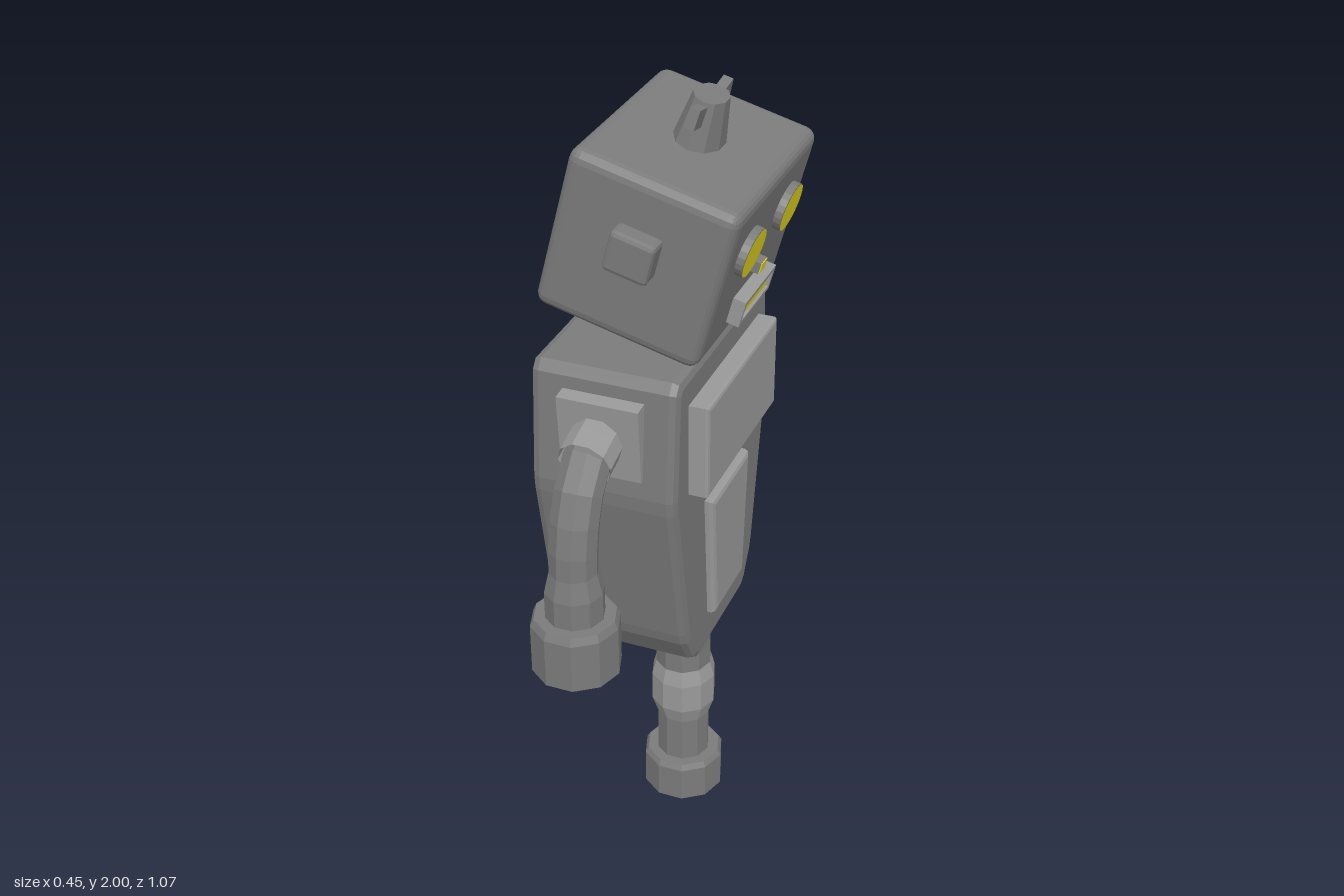
import * as THREE from 'three';
import { RoundedBoxGeometry } from 'three/addons/geometries/RoundedBoxGeometry.js';

const dark = new THREE.MeshStandardMaterial({ color: 0x7b7b7b, flatShading: true });
const darkOpen = new THREE.MeshStandardMaterial({ color: 0x7b7b7b, flatShading: true, side: THREE.DoubleSide });
const light = new THREE.MeshStandardMaterial({ color: 0x999999, flatShading: true });
const lightOpen = new THREE.MeshStandardMaterial({ color: 0x999999, flatShading: true, side: THREE.DoubleSide });
const yellow = new THREE.MeshStandardMaterial({ color: 0xe8dc20 });

const MID = -0.005; // mid plane of head and body

function add(parent, name, geometry, material = dark, x = 0, y = 0, z = 0) {
  const mesh = new THREE.Mesh(geometry, material);
  mesh.name = name;
  mesh.position.set(x, y, z);
  parent.add(mesh);
  return mesh;
}

// Symmetric outline of [half width, y] points, extruded along x from x0 to x1 with a bevel
function slab(half, x0, x1, bevel) {
  const right = half.map(([w, y]) => new THREE.Vector2(w, y));
  const left = half.map(([w, y]) => new THREE.Vector2(-w, y)).reverse();
  const g = new THREE.ExtrudeGeometry(new THREE.Shape([...right, ...left]), {
    depth: x1 - x0 - 2 * bevel, bevelEnabled: true, bevelThickness: bevel,
    bevelSize: bevel, bevelOffset: -bevel, bevelSegments: 2,
  });
  return g.translate(0, 0, bevel).rotateY(Math.PI / 2).translate(x0, 0, 0);
}

function tube(points, radius, segments) {
  const curve = new THREE.CatmullRomCurve3(points.map((p) => new THREE.Vector3(...p)));
  return new THREE.TubeGeometry(curve, segments, radius, 10);
}

const lathe = (profile) =>
  new THREE.LatheGeometry(profile.map(([r, y]) => new THREE.Vector2(r, y)), 10).rotateY(Math.PI / 10);

// Hollow cup used for hands and foot, with a yellow disc inside
function cup(parent, name, r, h, neck, x, y, z) {
  const g = new THREE.Group();
  g.name = name;
  g.position.set(x, y, z);
  add(g, name + 'Shell', lathe([
    [0, h * 0.3], [r * 0.74, h * 0.3], [r * 0.74, 0], [r, 0], [r, h * 0.87], [r * 0.92, h], [neck, h],
  ]), darkOpen);
  const disc = add(g, name + 'Disc', new THREE.CircleGeometry(r * 0.73, 10), yellow, 0, h * 0.28, 0);
  disc.rotation.x = Math.PI / 2;
  parent.add(g);
}

function makeHead() {
  const head = new THREE.Group();
  head.name = 'head';
  head.position.set(0, 1.715, MID);
  head.rotation.z = -0.26;
  add(head, 'skull', new RoundedBoxGeometry(0.372, 0.368, 0.5, 2, 0.026));

  for (const s of [1, -1]) {
    add(head, 'ear', new RoundedBoxGeometry(0.1, 0.092, 0.085, 1, 0.01), dark, 0, 0.03, s * 0.252);

    // Eye: grey oval rim with a yellow lens
    const eye = new THREE.Group();
    eye.name = 'eye';
    eye.position.set(0.185, 0.054, s * 0.117);
    eye.scale.set(1, 0.8, 1);
    add(eye, 'eyeRim', new THREE.CylinderGeometry(0.064, 0.064, 0.036, 24).rotateZ(-Math.PI / 2));
    add(eye, 'eyeLens', new THREE.CircleGeometry(0.063, 24).rotateY(Math.PI / 2), yellow, 0.019);
    head.add(eye);

    // Key wing on the cap
    const wing = add(head, 'capWing', new THREE.BoxGeometry(0.022, 0.042, 0.07), dark, 0, 0.258, s * 0.066);
    wing.rotation.x = -s * 0.22;
  }

  const cap = add(head, 'cap', new THREE.CylinderGeometry(0.05, 0.074, 0.11, 10), dark, 0, 0.229, 0);
  cap.scale.x = 0.75;

  add(head, 'nose', new THREE.BoxGeometry(0.03, 0.026, 0.036), dark, 0.19, -0.034, 0);
  add(head, 'noseLight', new THREE.BoxGeometry(0.004, 0.024, 0.034), yellow, 0.205, -0.034, 0);

  // Mouth: four bars around a recessed yellow strip
  for (const s of [1, -1]) {
    add(head, 'mouthBar', new THREE.BoxGeometry(0.04, 0.011, 0.192), light, 0.195, -0.106 + s * 0.025, 0);
    add(head, 'mouthEnd', new THREE.BoxGeometry(0.04, 0.05, 0.011), light, 0.195, -0.106, s * 0.0905);
  }
  add(head, 'mouthLight', new THREE.BoxGeometry(0.03, 0.04, 0.172), yellow, 0.193, -0.106, 0);
  return head;
}

function makeTorso() {
  const torso = new THREE.Group();
  torso.name = 'torso';
  torso.position.z = MID;
  add(torso, 'body', slab([
    [0.148, 0.667], [0.176, 0.687], [0.217, 0.755], [0.226, 0.785], [0.297, 1.155],
    [0.3, 1.19], [0.281, 1.445], [0.262, 1.467],
  ], -0.225, 0.11, 0.02));
  add(torso, 'chestPanel', slab([[0.22, 1.172], [0.22, 1.393]], 0.09, 0.156, 0.008), light);
  add(torso, 'bellyPanel', slab([[0.094, 0.768], [0.12, 1.092]], 0.09, 0.132, 0.012), light);
  for (const s of [1, -1]) {
    const plate = add(torso, 'shoulderPlate', new THREE.BoxGeometry(0.185, 0.18, 0.04), light, -0.056, 1.325, s * 0.292);
    plate.rotation.x = s * 0.08;
  }
  add(torso, 'neck', tube([[-0.08, 1.4, 0], [-0.055, 1.5, 0], [-0.025, 1.62, 0]], 0.07, 3));
  return torso;
}

function makeArm(s) {
  const arm = new THREE.Group();
  arm.name = s > 0 ? 'leftArm' : 'rightArm';
  arm.position.x = -0.062;
  add(arm, 'shoulderCollar', tube([[0, 1.323, s * 0.28], [0, 1.312, s * 0.33], [0, 1.3, s * 0.37]], 0.06, 2), lightOpen);
  add(arm, 'upperArm', tube([
    [0, 1.318, s * 0.3], [0, 1.295, s * 0.365], [0, 1.23, s * 0.412],
    [0, 1.13, s * 0.438], [0, 1.0, s * 0.44],
  ], 0.054, 6));
  add(arm, 'wrist', lathe([[0.066, 0.95], [0.066, 1.03], [0.054, 1.08]]), darkOpen, 0, 0, s * 0.44);
  cup(arm, 'hand', 0.1, 0.137, 0.05, 0, 0.828, s * 0.44);
  return arm;
}

function makeLeg() {
  const leg = new THREE.Group();
  leg.name = 'leg';
  leg.position.x = -0.048;
  add(leg, 'thigh', tube([
    [0, 0.78, -0.08], [0, 0.69, -0.112], [0, 0.58, -0.148], [0, 0.46, -0.167], [0, 0.38, -0.168],
  ], 0.072, 5));
  add(leg, 'knee', lathe([
    [0.068, 0.235], [0.083, 0.28], [0.083, 0.36], [0.07, 0.41],
  ]), lightOpen, 0, 0, -0.168);
  add(leg, 'shin', lathe([[0.068, 0.1], [0.068, 0.26]]), darkOpen, 0, 0, -0.168);
  cup(leg, 'foot', 0.104, 0.11, 0.06, 0, 0, -0.17);
  return leg;
}

export function createModel() {
  const model = new THREE.Group();
  model.name = 'robot';
  model.add(makeHead(), makeTorso(), makeArm(1), makeArm(-1), makeLeg());
  return model;
}
